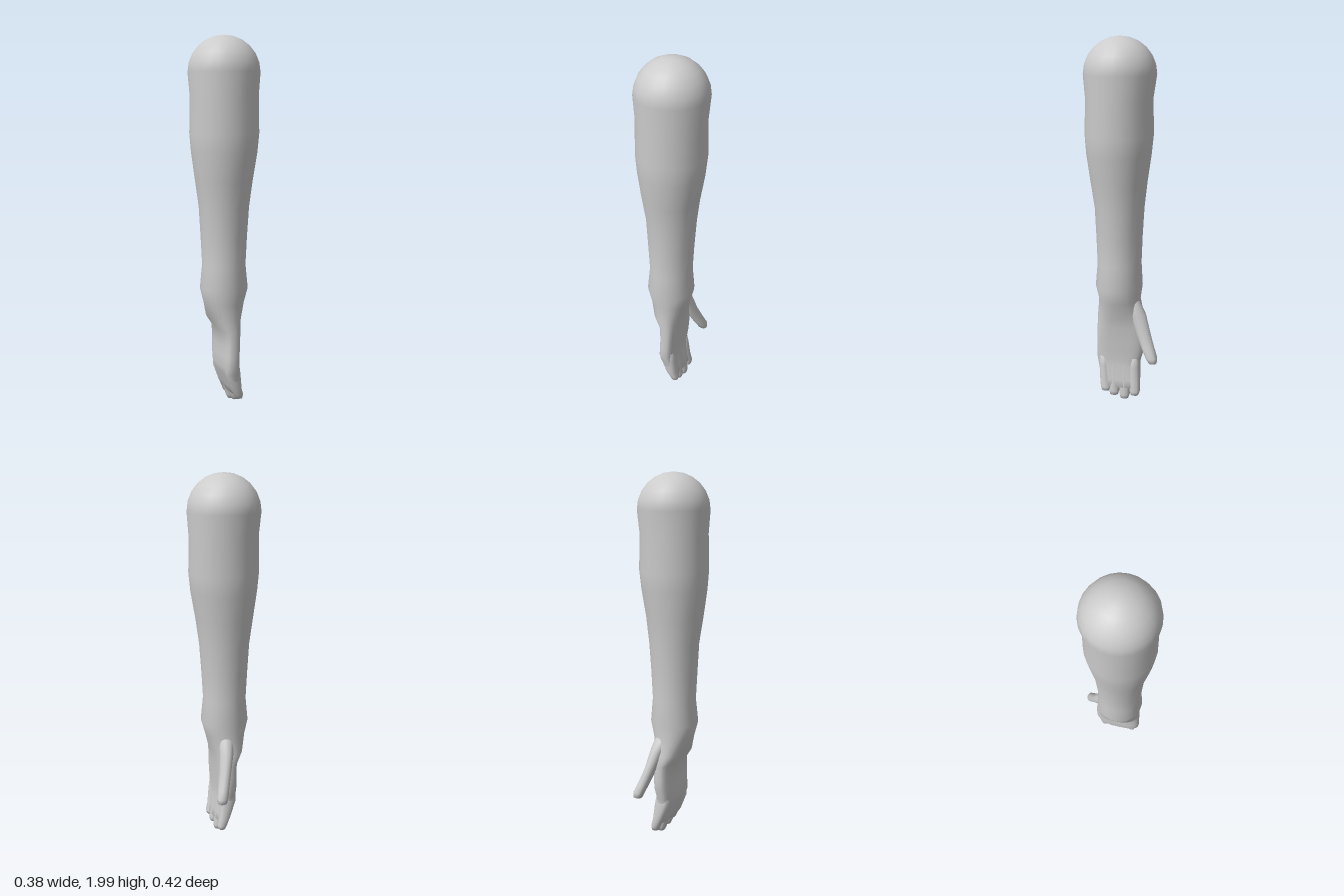
import * as THREE from 'three';

const material = new THREE.MeshStandardMaterial({ color: 0xcccccc });

// Smooth closed skin over horizontal sections listed from top to bottom.
// Section: [y, xMin, xMax, zMin, zMax, squareness (2 = ellipse)]
function loft(name, sections, topY, bottomY, sides) {
  const positions = [];
  const index = [];
  const bulge = (v, e) => Math.sign(v) * Math.pow(Math.abs(v), 2 / e);
  for (const [y, x0, x1, z0, z1, e = 2] of sections) {
    for (let i = 0; i < sides; i++) {
      const a = (i / sides) * Math.PI * 2;
      positions.push(
        (x0 + x1) / 2 + ((x1 - x0) / 2) * bulge(Math.cos(a), e),
        y,
        (z0 + z1) / 2 + ((z1 - z0) / 2) * bulge(Math.sin(a), e)
      );
    }
  }
  const rows = sections.length;
  for (let r = 0; r < rows - 1; r++) {
    for (let i = 0; i < sides; i++) {
      const j = (i + 1) % sides;
      const a = r * sides + i, b = r * sides + j;
      index.push(a, b, b + sides, a, b + sides, a + sides);
    }
  }
  // Poles closing both ends
  const addPole = (section, y) => {
    positions.push((section[1] + section[2]) / 2, y, (section[3] + section[4]) / 2);
    return positions.length / 3 - 1;
  };
  const top = addPole(sections[0], topY);
  const bottom = addPole(sections[rows - 1], bottomY);
  const last = (rows - 1) * sides;
  for (let i = 0; i < sides; i++) {
    const j = (i + 1) % sides;
    index.push(top, j, i, bottom, last + i, last + j);
  }
  const geometry = new THREE.BufferGeometry();
  geometry.setAttribute('position', new THREE.Float32BufferAttribute(positions, 3));
  geometry.setIndex(index);
  geometry.computeVertexNormals();
  const mesh = new THREE.Mesh(geometry, material);
  mesh.name = name;
  return mesh;
}

export function createModel() {
  const group = new THREE.Group();
  group.name = 'forearmAndHand';

  // Rounded elbow end
  const dome = [];
  for (let k = 1; k <= 5; k++) {
    const a = (k / 6) * (Math.PI / 2);
    const r = 0.19 * Math.sin(a);
    dome.push([1.81 + 0.19 * Math.cos(a), -r, r, 0.02 - r, 0.02 + r]);
  }

  // Forearm, wrist and palm in one skin
  group.add(loft('forearmAndPalm', [
    ...dome,
    [1.81, -0.19, 0.19, -0.17, 0.21],
    [1.69, -0.181, 0.181, -0.152, 0.2],
    [1.5, -0.185, 0.185, -0.156, 0.205],
    [1.4, -0.177, 0.175, -0.146, 0.198],
    [1.25, -0.157, 0.15, -0.125, 0.178],
    [1.11, -0.137, 0.133, -0.11, 0.157],
    [0.95, -0.128, 0.122, -0.101, 0.15],
    [0.8, -0.12, 0.114, -0.096, 0.145],
    [0.67, -0.134, 0.127, -0.103, 0.156],
    [0.59, -0.112, 0.104, -0.092, 0.138, 2.1],
    [0.5, -0.086, 0.08, -0.112, 0.146, 2.3],
    [0.44, -0.042, 0.068, -0.118, 0.146, 2.7],
    [0.36, -0.034, 0.063, -0.12, 0.147, 3],
    [0.3, -0.036, 0.059, -0.118, 0.148, 3],
    [0.24, -0.038, 0.056, -0.1, 0.149, 3],
    [0.2, -0.027, 0.059, -0.094, 0.14, 3],
    [0.12, 0.003, 0.067, -0.098, 0.124, 3],
    [0.08, 0.018, 0.073, -0.09, 0.112, 3]
  ], 2, 0.07, 24));

  // Thumb, splayed backward and to the left
  group.add(loft('thumb', [
    [0.6, -0.02, 0.06, -0.085, -0.01],
    [0.52, -0.005, 0.072, -0.132, -0.04],
    [0.42, 0.025, 0.088, -0.162, -0.08],
    [0.34, 0.052, 0.11, -0.19, -0.117, 2.3],
    [0.295, 0.066, 0.126, -0.207, -0.143, 2.4],
    [0.267, 0.075, 0.125, -0.205, -0.16, 2.4]
  ], 0.63, 0.26, 12));

  // Four short, closed fingers: [name, root z, tip z, tip y]
  const fingers = [
    ['littleFinger', 0.108, 0.092, 0.045],
    ['ringFinger', 0.052, 0.044, 0.024],
    ['middleFinger', -0.008, -0.016, 0.008],
    ['indexFinger', -0.062, -0.074, 0.032]
  ];
  for (const [name, rootZ, tipZ, tipY] of fingers) {
    const ring = (y, t, x0, x1, w) => {
      const z = rootZ + (tipZ - rootZ) * t;
      return [y, x0, x1, z - w, z + w, 2.4];
    };
    group.add(loft(name, [
      ring(0.26, 0, -0.03, 0.05, 0.03),
      ring(0.2, 0.3, -0.028, 0.06, 0.032),
      ring(0.11, 0.7, 0.007, 0.069, 0.032),
      ring(tipY + 0.03, 1, 0.029, 0.08, 0.03),
      ring(tipY + 0.008, 1, 0.038, 0.077, 0.022)
    ], 0.28, tipY, 12));
  }

  return group;
}
